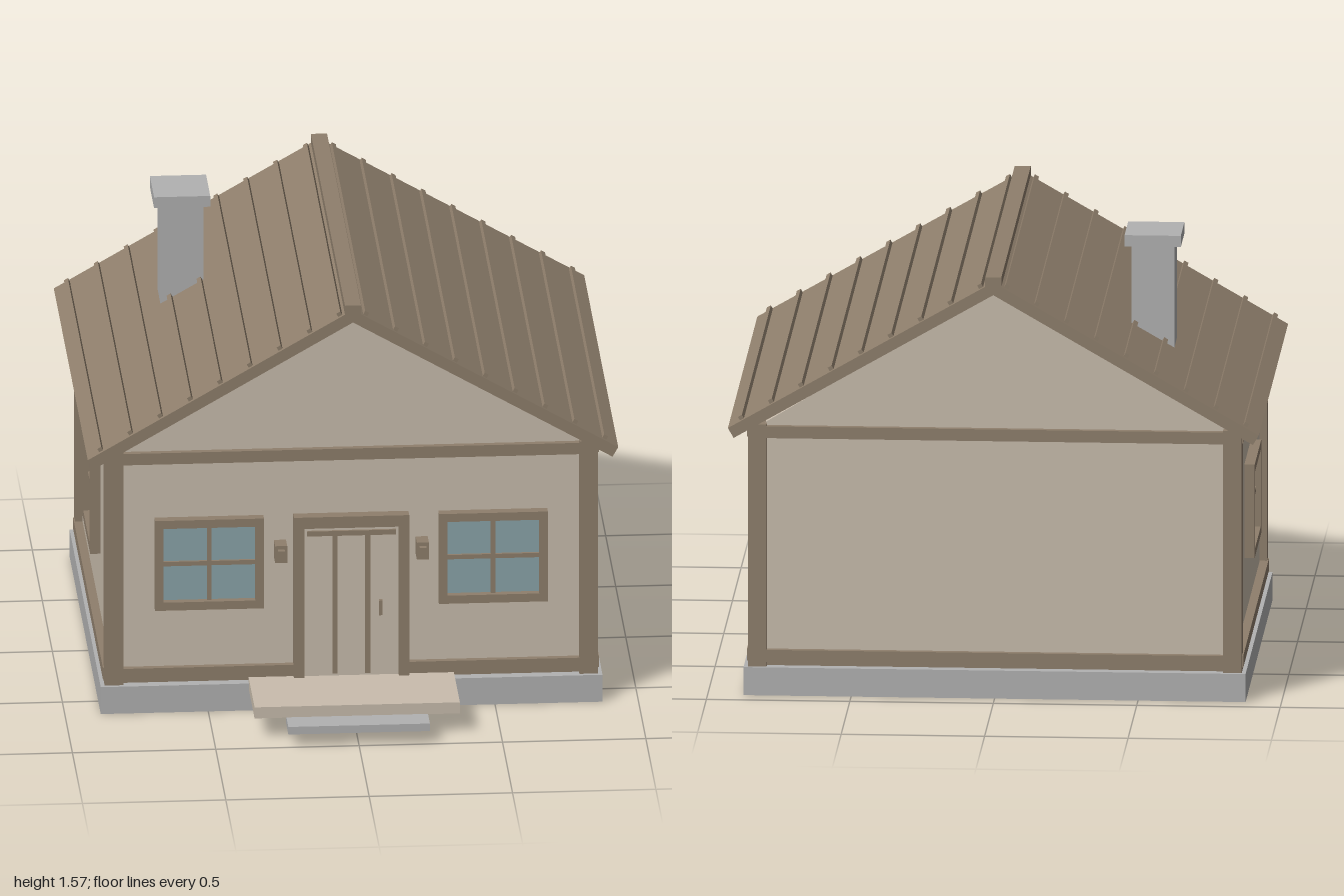
import * as THREE from 'three';

export function createModel() {
  const house = new THREE.Group();
  house.name = 'house';

  const mat = (name, color) => {
    const m = new THREE.MeshStandardMaterial({ color });
    m.name = name;
    return m;
  };
  const timber = mat('brown timber', 0x8f7f6c);
  const plaster = mat('beige plaster', 0xc9bdad);
  const stone = mat('grey stone', 0xb2b2b2);
  const glass = mat('blue glass', 0x8aa4aa);

  const add = (name, geometry, material, parent = house) => {
    const mesh = new THREE.Mesh(geometry, material);
    mesh.name = name;
    parent.add(mesh);
    return mesh;
  };
  // Box given by its lower and upper limits on each axis
  const box = (name, material, x0, x1, y0, y1, z0, z1, parent = house) => {
    const mesh = add(name, new THREE.BoxGeometry(x1 - x0, y1 - y0, z1 - z0), material, parent);
    mesh.position.set((x0 + x1) / 2, (y0 + y1) / 2, (z0 + z1) / 2);
    return mesh;
  };
  // Outline in x and y, pushed from z0 to z1
  const prism = (name, material, points, z0, z1) => {
    const shape = new THREE.Shape(points.map(([x, y]) => new THREE.Vector2(x, y)));
    const geometry = new THREE.ExtrudeGeometry(shape, { depth: z1 - z0, bevelEnabled: false });
    add(name, geometry, material).position.z = z0;
  };

  // Base, walls and gables
  const midZ = -0.15;
  box('foundation', stone, -0.875, 0.875, 0, 0.1, -0.927, 0.627);
  box('walls', plaster, -0.835, 0.835, 0.115, 0.96, -0.885, 0.585);
  box('wallFooting', timber, -0.84, 0.84, 0.1, 0.116, -0.89, 0.59);
  prism('gables', plaster, [[-0.8, 0.96], [0.8, 0.96], [0.8, 0.968], [0, 1.457], [-0.8, 0.968]], -0.885, 0.585);

  // Corner posts and the beams between them
  for (const s of [-1, 1]) {
    for (const z of [0.58, -0.882]) {
      box('cornerPost', timber, s * 0.828 - 0.0325, s * 0.828 + 0.0325, 0.1, 0.965, z - 0.0325, z + 0.0325);
    }
    for (const [y0, y1] of [[0.115, 0.158], [0.915, 0.957]]) {
      const z = midZ + s * 0.735;
      box('gableBeam', timber, -0.82, 0.82, y0, y1, z - 0.022, z + 0.022);
      box('sideBeam', timber, s * 0.845 - 0.02, s * 0.845 + 0.02, y0, y1, -0.89, 0.59);
    }
  }

  // Roof with standing battens and ridge cap
  prism('roof', timber, [
    [0, 1.505], [-0.925, 0.971], [-0.905, 0.936], [0, 1.459], [0.905, 0.936], [0.925, 0.971],
  ], -1, 0.695);
  const pitch = Math.PI / 6;
  for (const s of [-1, 1]) {
    for (let i = 0; i < 9; i++) {
      const x = 0.046 + i * 0.1042;
      const batten = add('roofBatten', new THREE.BoxGeometry(0.016, 0.018, 1.664), timber);
      batten.position.set(s * x, 1.511 - x * Math.tan(pitch), midZ);
      batten.rotation.z = -s * pitch;
    }
  }
  box('ridgeCap', timber, -0.028, 0.028, 1.488, 1.522, -1, 0.695);

  // Chimney
  box('chimneyShaft', stone, -0.6, -0.45, 1.14, 1.525, -0.482, -0.33);
  box('chimneyCap', stone, -0.624, -0.428, 1.525, 1.565, -0.512, -0.302);

  // Window facing +z, with its origin on the wall
  const addWindow = (x, z, turn) => {
    const win = new THREE.Group();
    win.name = 'window';
    const w = 0.19, h = 0.167, b = 0.03;
    box('windowGlass', glass, -w + b, w - b, -h + b, h - b, 0.002, 0.01, win);
    for (const s of [-1, 1]) {
      box('windowJamb', timber, s * (w - b / 2) - b / 2, s * (w - b / 2) + b / 2, -h, h, -0.01, 0.036, win);
      box('windowRail', timber, -w + b, w - b, s * (h - b / 2) - b / 2, s * (h - b / 2) + b / 2, -0.01, 0.036, win);
    }
    box('muntinUpright', timber, -0.008, 0.008, -h + b, h - b, 0, 0.022, win);
    box('muntinCross', timber, -w + b, w - b, -0.008, 0.008, 0, 0.02, win);
    win.position.set(x, 0.543, z);
    win.rotation.y = turn;
    house.add(win);
  };
  for (const s of [-1, 1]) {
    addWindow(s * 0.495, 0.585, 0);
    addWindow(s * 0.835, -0.145, s * Math.PI / 2);
  }

  // Door with frame, boards and handle
  box('doorPanel', plaster, -0.166, 0.166, 0.115, 0.672, 0.58, 0.61);
  for (const s of [-1, 1]) {
    box('doorJamb', timber, s * 0.183 - 0.018, s * 0.183 + 0.018, 0.115, 0.71, 0.58, 0.627);
    box('doorBatten', timber, s * 0.057 - 0.009, s * 0.057 + 0.009, 0.125, 0.638, 0.605, 0.617);
  }
  box('doorHeader', timber, -0.201, 0.201, 0.67, 0.712, 0.58, 0.628);
  box('doorTopBatten', timber, -0.155, 0.155, 0.638, 0.656, 0.605, 0.619);
  box('doorHandle', timber, 0.094, 0.106, 0.352, 0.406, 0.636, 0.654);
  box('handleStem', timber, 0.096, 0.104, 0.372, 0.386, 0.605, 0.64);

  // Wall lamps beside the door
  for (const s of [-1, 1]) {
    const x = s * 0.247;
    box('lampBase', timber, x - 0.021, x + 0.021, 0.553, 0.616, 0.58, 0.648);
    box('lampHead', timber, x - 0.012, x + 0.012, 0.566, 0.603, 0.645, 0.668);
  }

  // Porch slab and step
  box('porchSlab', plaster, -0.358, 0.358, 0.075, 0.116, 0.605, 0.905);
  box('porchStep', stone, -0.247, 0.247, 0.048, 0.076, 0.875, 1);

  return house;
}
